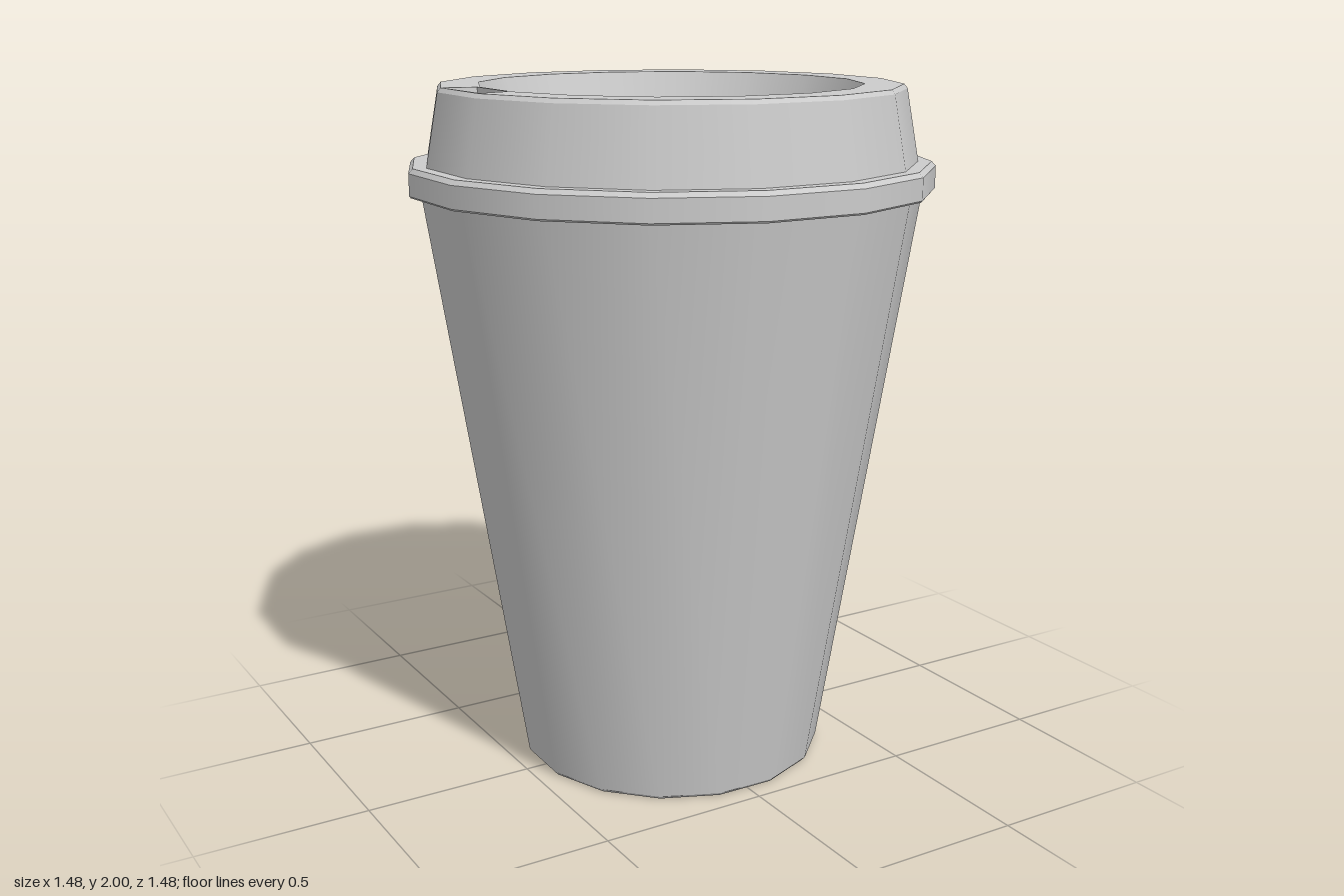
import * as THREE from 'three';
import { mergeGeometries } from 'three/addons/utils/BufferGeometryUtils.js';

const SIDES = 16;
const TURN = THREE.MathUtils.degToRad(10.3); // slight twist of the 16-gon
const grey = new THREE.MeshStandardMaterial({ color: 0xcccccc });

// Turned part: smooth around the axis, sharp at every profile point
function turned(name, profile) {
  const bands = [];
  for (let i = 0; i < profile.length - 1; i++) {
    const pair = [profile[i], profile[i + 1]].map(([r, y]) => new THREE.Vector2(r, y));
    bands.push(new THREE.LatheGeometry(pair, SIDES, TURN, Math.PI * 2));
  }
  const mesh = new THREE.Mesh(mergeGeometries(bands), grey);
  mesh.name = name;
  return mesh;
}

// Corners of the 16-gon in shape coordinates (x, -z)
function ring(radius) {
  return Array.from({ length: SIDES }, (_, i) => {
    const a = TURN + (i / SIDES) * Math.PI * 2;
    return new THREE.Vector2(radius * Math.sin(a), -radius * Math.cos(a));
  });
}

// Sip opening corners as [x, z], at the lip and at the pocket floor
const sipTop = [[-0.545, -0.115], [-0.637, -0.135], [-0.637, 0.105], [-0.545, 0.085]];
const sipFloor = [[-0.545, -0.105], [-0.635, -0.125], [-0.635, 0.09], [-0.545, 0.07]];

// Flat top of the lid, pierced by the dish and the sip opening
function lipTop() {
  const shape = new THREE.Shape(ring(0.657));
  shape.holes.push(new THREE.Path(ring(0.548)));
  shape.holes.push(new THREE.Path(sipTop.map(([x, z]) => new THREE.Vector2(x, -z))));
  const geo = new THREE.ShapeGeometry(shape).rotateX(-Math.PI / 2).translate(0, 2, 0);
  const mesh = new THREE.Mesh(geo, grey);
  mesh.name = 'lidLip';
  return mesh;
}

// Sunken pocket below the sip opening: four walls and a floor
function sipPocket() {
  const top = sipTop.map(([x, z]) => [x, 2, z]);
  const low = sipFloor.map(([x, z]) => [x, 1.92, z]);
  const pos = [];
  const quad = (a, b, c, d) => pos.push(...a, ...b, ...c, ...a, ...c, ...d);
  for (let i = 0; i < 4; i++) {
    const j = (i + 1) % 4;
    quad(top[i], low[i], low[j], top[j]);
  }
  quad(low[0], low[1], low[2], low[3]);
  const geo = new THREE.BufferGeometry();
  geo.setAttribute('position', new THREE.Float32BufferAttribute(pos, 3));
  geo.computeVertexNormals();
  const mat = grey.clone();
  mat.side = THREE.DoubleSide;
  const mesh = new THREE.Mesh(geo, mat);
  mesh.name = 'sipPocket';
  return mesh;
}

export function createModel() {
  const model = new THREE.Group();
  model.name = 'takeawayCup';

  // Tapered cup with a small bevel at the foot
  model.add(turned('cupBody', [[0, 0], [0.444, 0], [0.453, 0.01], [0.722, 1.72]]));

  // Lid: overhanging rim, then the tapered collar
  const lid = new THREE.Group();
  lid.name = 'lid';
  lid.add(turned('lidRim', [
    [0.7, 1.705], [0.75, 1.705], [0.754, 1.71], [0.754, 1.772], [0.742, 1.785], [0.704, 1.785],
  ]));
  lid.add(turned('lidCollar', [[0.704, 1.785], [0.667, 1.988], [0.657, 2]]));
  lid.add(lipTop());

  // Recessed dish in the middle of the lid
  lid.add(turned('lidDish', [[0.548, 2], [0.513, 1.9], [0, 1.9]]));
  lid.add(sipPocket());
  model.add(lid);
  return model;
}
